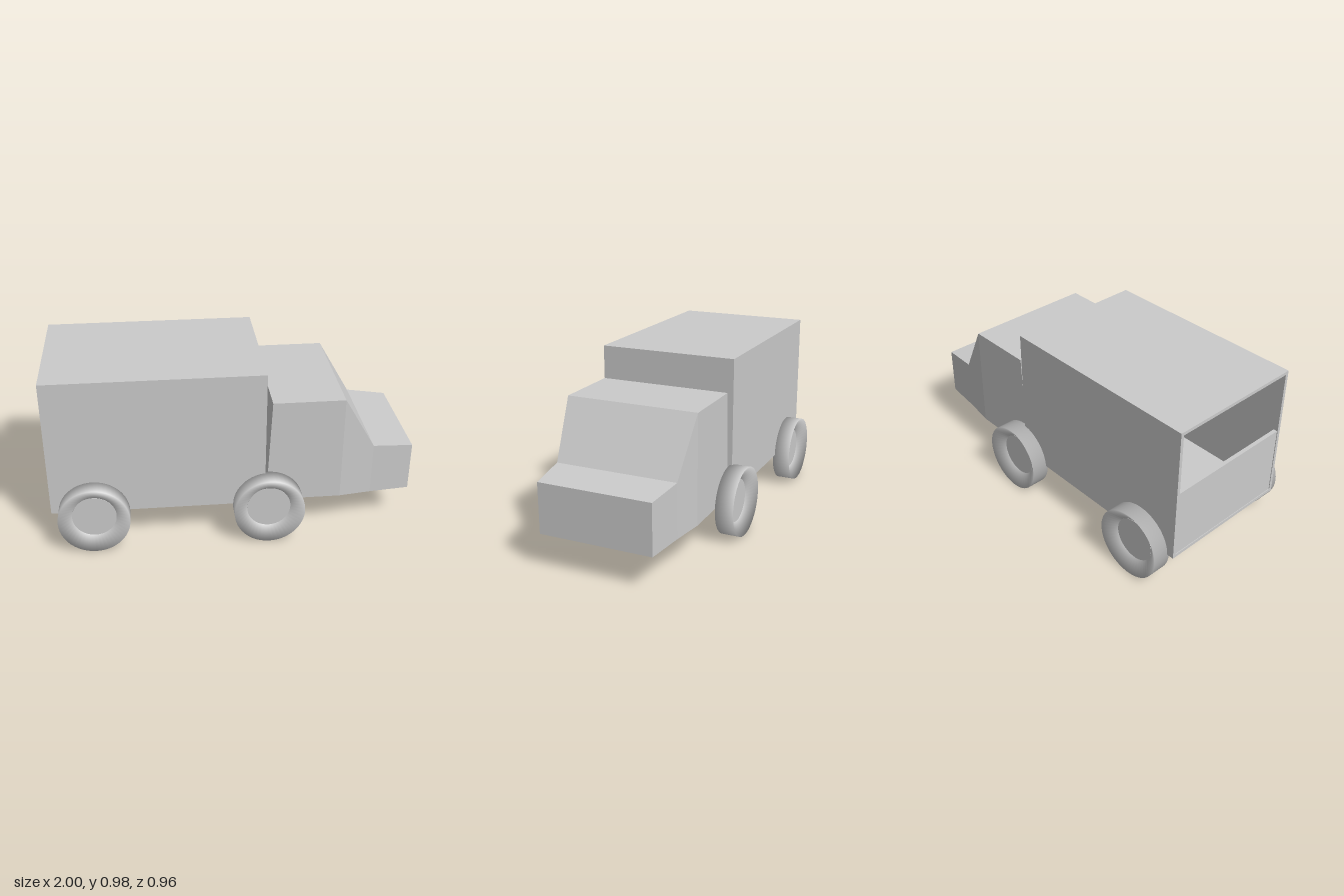
import * as THREE from 'three';

const material = new THREE.MeshStandardMaterial({ color: 0xcccccc, side: THREE.DoubleSide });

function addMesh(parent, name, geometry) {
  const mesh = new THREE.Mesh(geometry, material);
  mesh.name = name;
  parent.add(mesh);
  return mesh;
}

// Box given by its minimum and maximum corners
function addPanel(parent, name, [x0, y0, z0], [x1, y1, z1]) {
  const mesh = addMesh(parent, name, new THREE.BoxGeometry(x1 - x0, y1 - y0, z1 - z0));
  mesh.position.set((x0 + x1) / 2, (y0 + y1) / 2, (z0 + z1) / 2);
}

// Hollow cargo box, open at the rear above a low tailgate
function buildCargoBox() {
  const box = new THREE.Group();
  box.name = 'cargoBox';
  const back = -1, front = 0.17, low = 0.2, high = 0.98, w = 0.39, t = 0.018;
  addPanel(box, 'cargoRoof', [back, high - t, -w], [front, high, w]);
  addPanel(box, 'cargoFloor', [back, low, -w], [front, low + t, w]);
  addPanel(box, 'cargoLeftWall', [back, low + t, -w], [front, high - t, -w + t]);
  addPanel(box, 'cargoRightWall', [back, low + t, w - t], [front, high - t, w]);
  addPanel(box, 'cargoFrontWall', [front - t, low + t, -w + t], [front, high - t, w - t]);
  addPanel(box, 'tailgate', [back + 0.004, low + t, -w + t], [back + 0.026, 0.61, w - t]);
  return box;
}

// Cab lofted through upright four-cornered sections
function buildCab() {
  // bottom x, top x, bottom y, top y, half width
  const sections = [
    [0.178, 0.205, 0.2, 0.803, 0.37],
    [0.595, 0.595, 0.2, 0.803, 0.37],
    [0.775, 0.775, 0.196, 0.495, 0.34],
    [1, 1, 0.194, 0.473, 0.315],
  ];
  const rings = sections.map(([xb, xt, yb, yt, w]) => [
    [xb, yb, w], [xb, yb, -w], [xt, yt, -w], [xt, yt, w],
  ]);
  const positions = [];
  const quad = (a, b, c, d) => positions.push(...a, ...b, ...c, ...a, ...c, ...d);
  for (let i = 0; i < rings.length - 1; i++) {
    const p = rings[i], q = rings[i + 1];
    for (let k = 0; k < 4; k++) {
      const n = (k + 1) % 4;
      quad(p[k], p[n], q[n], q[k]);
    }
  }
  const first = rings[0], last = rings[rings.length - 1];
  quad(first[3], first[2], first[1], first[0]);
  quad(...last);
  const geometry = new THREE.BufferGeometry();
  geometry.setAttribute('position', new THREE.Float32BufferAttribute(positions, 3));
  geometry.computeVertexNormals();
  return geometry;
}

// Wheel with a smooth tyre dished on both sides, lying along its own y axis
function buildWheel() {
  const wheel = new THREE.Group();
  wheel.name = 'wheel';
  const h = 0.052;
  const profile = [[0.12, 0], [0.194, -h], [0.194, h], [0.12, 0]]
    .map(([r, y]) => new THREE.Vector2(r, y));
  addMesh(wheel, 'tyre', new THREE.LatheGeometry(profile, 48));
  addMesh(wheel, 'hubCap', new THREE.CylinderGeometry(0.12, 0.12, 0.004, 48));
  const hub = addMesh(wheel, 'innerHub', new THREE.CylinderGeometry(0.1, 0.1, 0.056, 48));
  hub.position.y = -0.028;
  return wheel;
}

export function createModel() {
  const truck = new THREE.Group();
  truck.name = 'truck';
  truck.add(buildCargoBox());
  addMesh(truck, 'cab', buildCab());

  for (const [axle, x] of [['rear', -0.767], ['front', 0.187]]) {
    for (const side of [1, -1]) {
      const wheel = buildWheel();
      wheel.name = axle + (side > 0 ? 'RightWheel' : 'LeftWheel');
      wheel.position.set(x, 0.194, side * 0.43);
      wheel.rotation.x = side * Math.PI / 2;
      truck.add(wheel);
    }
  }
  return truck;
}
